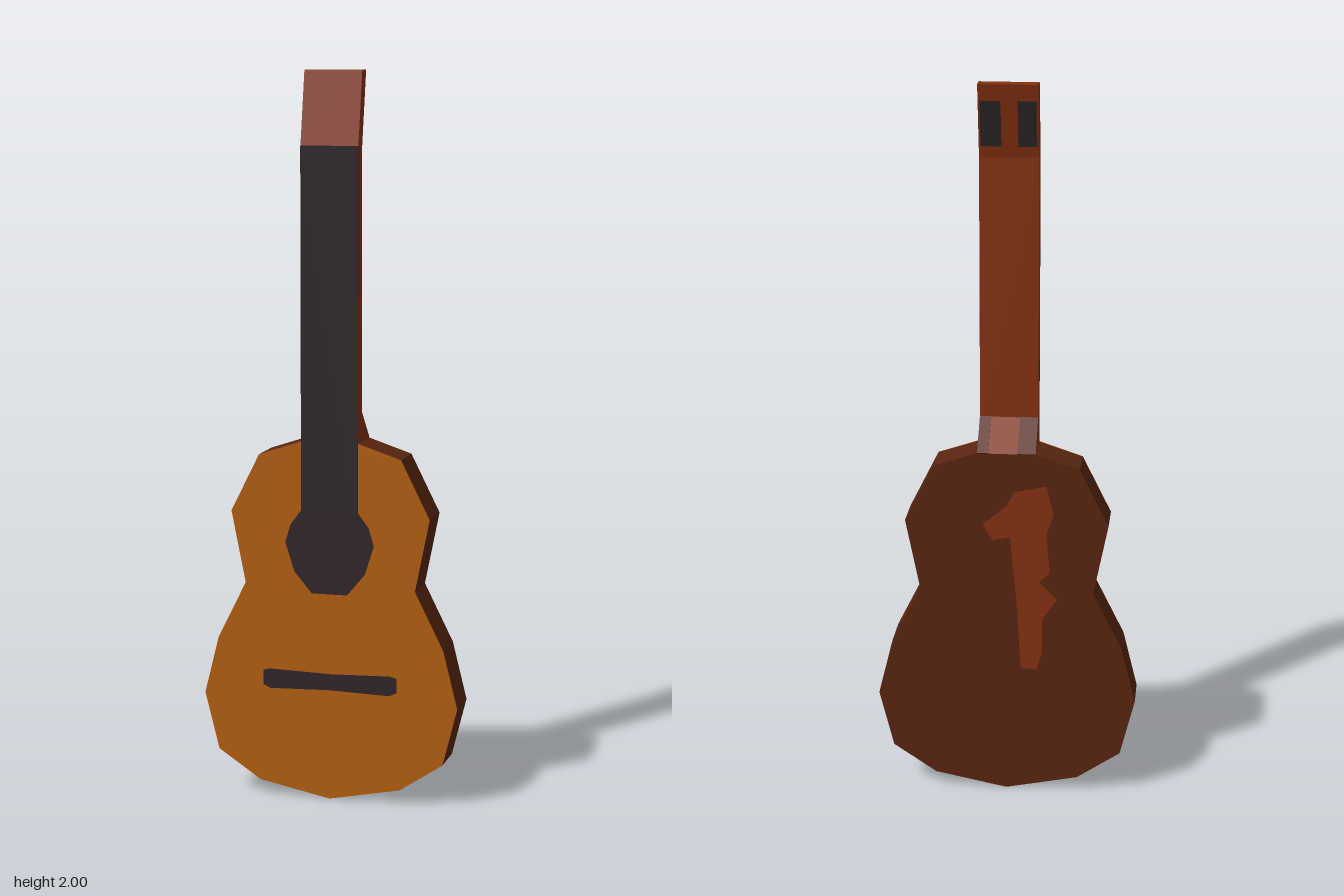
import * as THREE from 'three';

const mat = (name, color) => {
  const m = new THREE.MeshStandardMaterial({ color });
  m.name = name;
  return m;
};

const shapeOf = (pts) => new THREE.Shape(pts.map(([x, y]) => new THREE.Vector2(x, y)));
// closes a right-hand half outline by mirroring it across x = 0
const mirrored = (half) => [
  ...half,
  ...half.filter(([x]) => x !== 0).reverse().map(([x, y]) => [-x, y]),
];

export function createModel() {
  const group = new THREE.Group();
  group.name = 'guitar';
  const topWood = mat('amber top wood', 0xb15d0d);
  const bodyWood = mat('dark body wood', 0x5a2511);
  const neckWood = mat('red neck wood', 0x843110);
  const ebony = mat('ebony', 0x2e2426);

  const add = (name, geometry, material) => {
    const mesh = new THREE.Mesh(geometry, material);
    mesh.name = name;
    group.add(mesh);
  };
  // outline in x, y extruded from z0 to z1
  const plate = (name, pts, z0, z1, material) => {
    const g = new THREE.ExtrudeGeometry(shapeOf(pts), { depth: z1 - z0, bevelEnabled: false });
    add(name, g.translate(0, 0, z0), material);
  };
  // side profile in z, y extruded from x0 to x1
  const prism = (name, pts, x0, x1, material) => {
    const g = new THREE.ExtrudeGeometry(shapeOf(pts), { depth: x1 - x0, bevelEnabled: false });
    add(name, g.rotateY(-Math.PI / 2).translate(x1, 0, 0), material);
  };

  // body and its front face
  const outline = mirrored([
    [0, 0], [0.2, 0.04], [0.32, 0.12], [0.36, 0.28], [0.32, 0.44],
    [0.24, 0.6], [0.28, 0.8], [0.2, 0.96], [0.08, 1],
  ]);
  plate('body', outline, -0.06, 0.057, bodyWood);
  plate('soundboard', outline, 0.057, 0.06, topWood);

  // lighter grain on the back
  plate('backGrain', [
    [-0.02, 0.89], [-0.11, 0.91], [-0.13, 0.83], [-0.11, 0.77], [-0.12, 0.66],
    [-0.09, 0.63], [-0.14, 0.58], [-0.1, 0.52], [-0.1, 0.42], [-0.085, 0.37],
    [-0.04, 0.37], [-0.03, 0.55], [-0.01, 0.76], [0.04, 0.75], [0.065, 0.795], [0, 0.85],
  ], -0.062, -0.06, neckWood);

  // neck with sloped heel, and tilted headstock
  prism('neck', [[-0.06, 1], [0.059, 1], [0.059, 1.8], [0.02, 1.8], [0.02, 1.08]], -0.08, 0.08, neckWood);
  prism('headstock', [[0.02, 1.8], [0.06, 1.8], [0.02, 2], [-0.02, 2]], -0.08, 0.08, neckWood);

  // dark wood on either side of the heel slope
  for (const [x0, x1] of [[-0.08, -0.03], [0.05, 0.08]]) {
    prism('heelFacing', [[-0.06, 1], [0.02, 1.08], [0.018, 1.082], [-0.062, 1.002]], x0, x1, bodyWood);
  }

  // fingerboard running into the sound hole
  plate('fingerboardAndSoundHole', mirrored([
    [0.05, 0.58], [0.1, 0.64], [0.125, 0.72], [0.11, 0.77], [0.08, 0.81], [0.08, 1.8],
  ]), 0.059, 0.062, ebony);

  // bridge
  plate('bridge', mirrored([
    [0, 0.31], [0.17, 0.305], [0.19, 0.315], [0.19, 0.355], [0.17, 0.36], [0, 0.355],
  ]), 0.059, 0.062, ebony);

  // tuner slots on the back of the headstock
  for (const [x0, x1] of [[-0.075, -0.025], [0.02, 0.075]]) {
    prism('tunerSlot', [[0.014, 1.83], [0.012, 1.83], [-0.013, 1.955], [-0.011, 1.955]], x0, x1, ebony);
  }

  return group;
}
